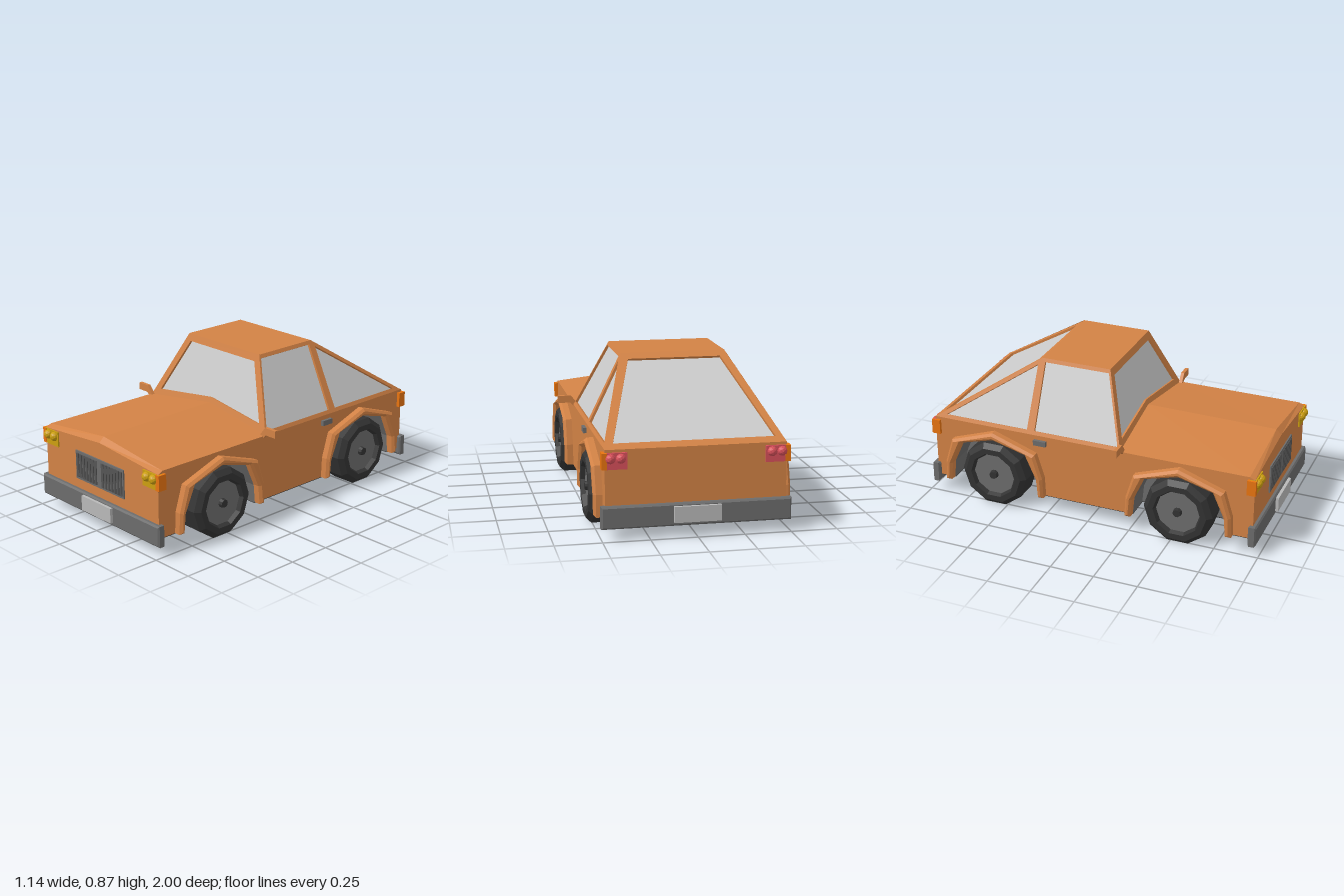
import * as THREE from 'three';

const mat = (color) => new THREE.MeshStandardMaterial({ color, flatShading: true, side: THREE.DoubleSide });

export function createModel() {
  const car = new THREE.Group();
  car.name = 'car';
  const paint = mat(0xd28245), glass = mat(0xcccccc), grey = mat(0x6c6c6c), black = mat(0x333333);
  const slatMat = mat(0x555555), plateMat = mat(0xb8b8b8);
  const yellow = mat(0xcc9f10), red = mat(0xd8505a), amber = mat(0xe87410);

  const add = (name, geo, m, parent = car) => {
    const mesh = new THREE.Mesh(geo, m);
    mesh.name = name;
    parent.add(mesh);
    return mesh;
  };
  // Box given by its limits on each axis
  const box = (name, m, x0, x1, y0, y1, z0, z1) =>
    add(name, new THREE.BoxGeometry(Math.abs(x1 - x0), y1 - y0, Math.abs(z1 - z0))
      .translate((x0 + x1) / 2, (y0 + y1) / 2, (z0 + z1) / 2), m);
  // Convex or star-shaped polygons, each fanned from its first corner
  const polys = (name, list, m) => {
    const pos = [];
    for (const p of list)
      for (let i = 1; i < p.length - 1; i++) pos.push(...p[0], ...p[i], ...p[i + 1]);
    const g = new THREE.BufferGeometry();
    g.setAttribute('position', new THREE.Float32BufferAttribute(pos, 3));
    g.computeVertexNormals();
    return add(name, g, m);
  };
  // Outline in (z, y), extruded along x from x0 to x0 + depth
  const extrudeX = (pts, x0, depth, opts = {}) =>
    new THREE.ExtrudeGeometry(new THREE.Shape(pts.map(([z, y]) => new THREE.Vector2(-z, y))),
      { depth, bevelEnabled: false, ...opts }).rotateY(Math.PI / 2).translate(x0, 0, 0);

  // Body: full-width core and outer sides with wheel cut-outs
  const wheelZ = [0.54, -0.575];
  const half = [[0.275, 0.1], [0.265, 0.21], [0.2, 0.355], [0, 0.41]];
  const archOut = [[0.31, 0.1], [0.305, 0.22], [0.26, 0.365], [0, 0.455]];
  const arc = (h, z) => [...h.map(([a, y]) => [z + a, y]),
    ...h.slice(0, -1).reverse().map(([a, y]) => [z - a, y])];
  const top = [[-0.955, 0.1], [-0.955, 0.475], [0.93, 0.475], [0.96, 0.46], [0.96, 0.1]];
  add('bodyCore', extrudeX(top, -0.33, 0.66), paint);
  const sideProfile = [...top, ...arc(half, wheelZ[0]), ...arc(half, wheelZ[1])];
  for (const s of [1, -1])
    add('bodySide', extrudeX(sideProfile, s > 0 ? 0.33 : -0.48, 0.15), paint);

  // Underside plates between the wheel wells
  box('floor', black, -0.33, 0.33, 0.094, 0.1, -0.95, 0.955);
  for (const s of [1, -1])
    for (const [a, b] of [[-0.95, -0.85], [-0.3, 0.265], [0.815, 0.955]])
      box('floorStrip', black, s * 0.33, s * 0.475, 0.094, 0.1, a, b);

  // Hood: ridged cross-sections along z
  const rows = [[0.96, 0.46, 0.5], [0.93, 0.475, 0.53], [0.165, 0.477, 0.54]]
    .map(([z, e, c]) => [[-0.48, e, z], [0, c, z], [0.48, e, z]]);
  const hood = [[rows[0][1], rows[0][0], rows[0][2]]];
  for (let r = 0; r < 2; r++)
    for (let i = 0; i < 2; i++)
      hood.push([rows[r][i], rows[r][i + 1], rows[r + 1][i + 1], rows[r + 1][i]]);
  polys('hood', hood, paint);

  // Cabin panel: frame around a recessed pane
  const panel = (name, outer, inner, depth = 0.014) => {
    const v = outer.map((p) => new THREE.Vector3(...p));
    const n = v[1].clone().sub(v[0]).cross(v[2].clone().sub(v[0])).normalize();
    const deep = inner.map((p) => new THREE.Vector3(...p).addScaledVector(n, -depth).toArray());
    const frame = [];
    outer.forEach((p, i) => {
      const j = (i + 1) % outer.length;
      frame.push([p, outer[j], inner[j], inner[i]], [inner[i], inner[j], deep[j], deep[i]]);
    });
    polys(name + 'Frame', frame, paint);
    polys(name + 'Glass', [deep], glass);
  };
  const up = (y) => (y - 0.475) / 0.39;
  const ws = (x, y) => [x, y, 0.19 - 0.135 * up(y)];
  const rw = (x, y) => [x, y, -0.95 + 0.6 * up(y)];
  panel('windshield',
    [ws(0, 0.54), ws(0.48, 0.475), ws(0.29, 0.865), ws(-0.29, 0.865), ws(-0.48, 0.475)],
    [ws(0, 0.57), ws(0.415, 0.52), ws(0.265, 0.825), ws(-0.265, 0.825), ws(-0.415, 0.52)]);
  panel('rearWindow',
    [rw(0.48, 0.475), rw(-0.48, 0.475), rw(-0.29, 0.865), rw(0.29, 0.865)],
    [rw(0.43, 0.498), rw(-0.43, 0.498), rw(-0.257, 0.838), rw(0.257, 0.838)]);
  for (const s of [1, -1]) {
    const side = (pts) => {
      const p = pts.map(([z, y]) => [s * (0.48 - 0.19 * up(y)), y, z]);
      return s > 0 ? p : p.reverse();
    };
    panel('doorWindow', side([[0.19, 0.475], [-0.355, 0.475], [-0.355, 0.865], [0.055, 0.865]]),
      side([[0.17, 0.495], [-0.332, 0.495], [-0.335, 0.845], [0.05, 0.845]]));
    panel('quarterWindow', side([[-0.355, 0.475], [-0.95, 0.475], [-0.355, 0.865]]),
      side([[-0.378, 0.495], [-0.885, 0.495], [-0.375, 0.828]]));
  }
  polys('roof', [[[-0.29, 0.865, 0.055], [0.29, 0.865, 0.055],
    [0.29, 0.865, -0.355], [-0.29, 0.865, -0.355]]], paint);

  // Wheels, wells and arches
  const tyre = [[0, 0.34], [0.172, 0.34], [0.2, 0.365], [0.2, 0.505], [0.172, 0.532],
    [0.138, 0.532], [0.125, 0.505]].map(([r, y]) => new THREE.Vector2(r, y));
  const disc = (r0, r1, x0, x1) => new THREE.CylinderGeometry(r1, r0, x1 - x0, 10)
    .translate(0, (x0 + x1) / 2, 0).rotateZ(-Math.PI / 2);
  for (const z of wheelZ)
    for (const s of [1, -1]) {
      const wheel = new THREE.Group();
      wheel.name = 'wheel';
      wheel.position.set(0, 0.19, z);
      wheel.rotation.y = s > 0 ? 0 : Math.PI;
      car.add(wheel);
      add('tyre', new THREE.LatheGeometry(tyre, 10).rotateZ(-Math.PI / 2), black, wheel);
      add('rim', disc(0.13, 0.13, 0.49, 0.508), grey, wheel);
      add('hubNut', disc(0.028, 0.022, 0.5, 0.53), black, wheel);

      const edge = arc(half, z);
      polys('wheelWell', [
        edge.map(([a, y]) => [s * 0.333, y, a]).reverse(),
        ...edge.slice(1).map(([a, y], i) => {
          const [b, c] = edge[i], k = 0.003;
          return [[s * 0.33, y - k, a], [s * 0.478, y - k, a], [s * 0.478, c - k, b], [s * 0.33, c - k, b]];
        }),
      ], grey);
      add('wheelArch', extrudeX([...arc(archOut, z), ...edge.reverse()], s * 0.495 - 0.02, 0.04,
        { bevelEnabled: true, bevelThickness: 0.014, bevelSize: 0.014, bevelOffset: -0.014, bevelSegments: 1 }), paint);
    }

  // Bumpers, plates and lamps at both ends
  for (const e of [1, -1]) {
    const bumper = new THREE.ExtrudeGeometry(new THREE.Shape([[-0.495, 0.07], [0.495, 0.07], [0.495, 0.172], [-0.495, 0.172]]
      .map((p) => new THREE.Vector2(...p))),
    { depth: 0.03, bevelThickness: 0.008, bevelSize: 0.009, bevelSegments: 1 });
    add('bumper', bumper.translate(0, 0, e * 0.96 - 0.015), grey);
    box('plate', plateMat, -0.125, 0.125, 0.082, 0.168, e * 0.97, e);
    const lamp = e > 0 ? yellow : red;
    for (const s of [1, -1]) {
      box('lampBase', lamp, s * 0.365, s * 0.485, 0.373, 0.46, e * 0.93, e * 0.968);
      box('sideMarker', amber, s * 0.47, s * 0.498, 0.373, 0.46, e * 0.92, e * 0.97);
      for (const x of [0.398, 0.452])
        add('lampBulb', new THREE.IcosahedronGeometry(0.027, 1).translate(s * x, 0.43, e * 0.967), lamp);
    }
  }

  // Grille with two banks of slats
  box('grille', grey, -0.205, 0.205, 0.24, 0.405, 0.95, 0.968);
  for (const s of [1, -1])
    for (let i = 0; i < 7; i++) {
      const x = s * (0.03 + i * 0.026);
      box('grilleSlat', slatMat, x - 0.009, x + 0.009, 0.253, 0.392, 0.96, 0.973);
    }

  // Mirrors and door handles
  for (const s of [1, -1]) {
    const shape = new THREE.Shape([[0.45, 0.47], [0.495, 0.528], [0.572, 0.528], [0.572, 0.486], [0.5, 0.486], [0.48, 0.465]]
      .map(([x, y]) => new THREE.Vector2(s * x, y)));
    add('mirror', new THREE.ExtrudeGeometry(shape, { depth: 0.02, bevelEnabled: false }).translate(0, 0, 0.188), paint);
    box('doorHandle', grey, s * 0.475, s * 0.498, 0.42, 0.45, -0.33, -0.255);
  }
  return car;
}
